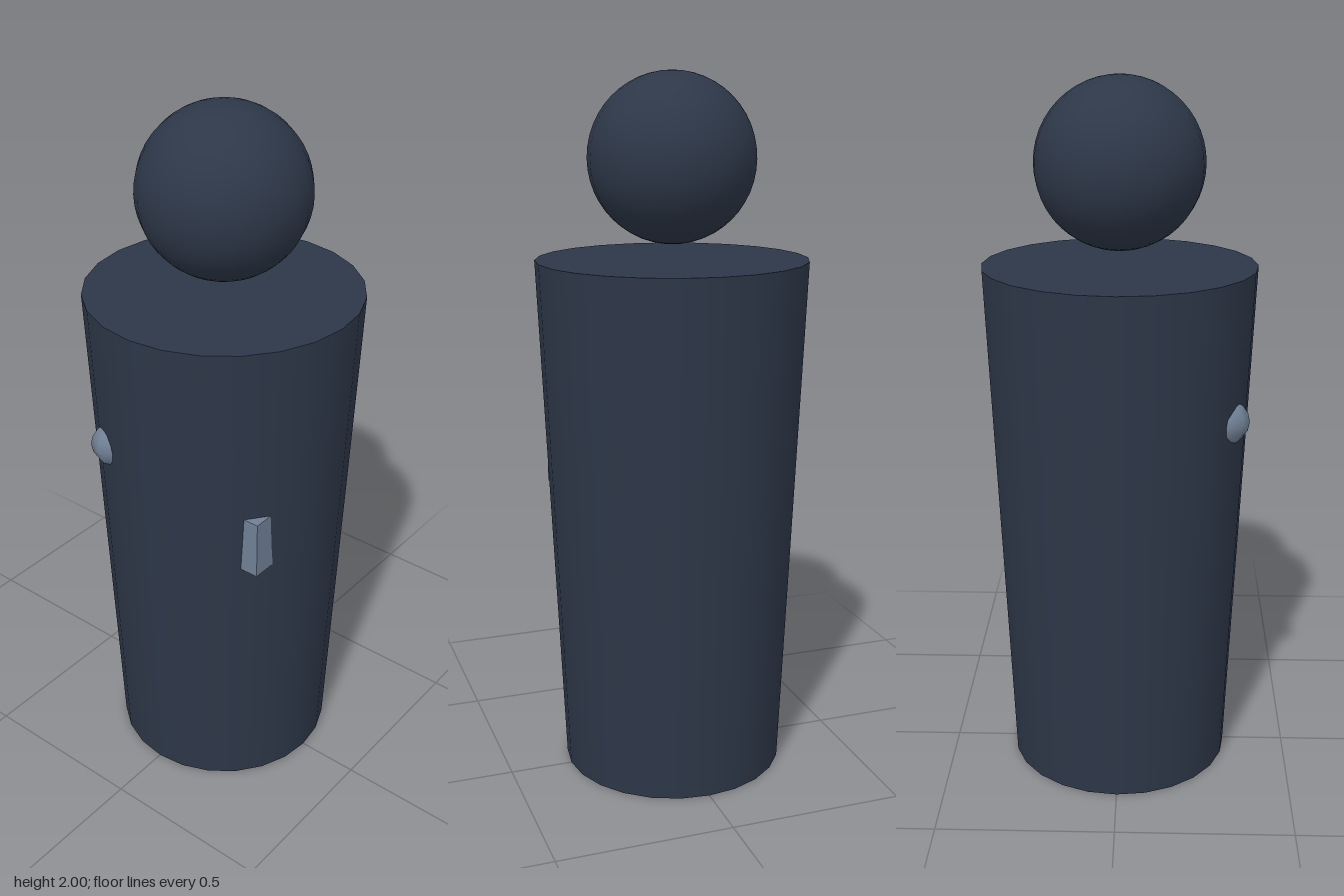
import * as THREE from 'three';

export function createModel() {
  const model = new THREE.Group();
  const dark = new THREE.MeshStandardMaterial({ color: 0x2d3748 });
  const light = new THREE.MeshStandardMaterial({ color: 0x718096 });

  const add = (name, geometry, material, x, y, z) => {
    const mesh = new THREE.Mesh(geometry, material);
    mesh.name = name;
    mesh.position.set(x, y, z);
    model.add(mesh);
  };

  // Tapered body, wider at the shoulders
  add('body', new THREE.CylinderGeometry(0.383, 0.319, 1.49, 24), dark, 0, 0.745, 0);

  // Head floating just above the body
  add('head', new THREE.SphereGeometry(0.234, 24, 24), dark, 0, 1.766, 0);

  // Small round badge half sunk into the right side of the chest
  add('chestBadge', new THREE.SphereGeometry(0.064, 8, 8), light, -0.149, 1.085, 0.298);

  // Box at the left hip, only its outer corner showing
  add('hipBox', new THREE.BoxGeometry(0.085, 0.17, 0.085), light, 0.266, 0.894, 0.202);

  return model;
}
